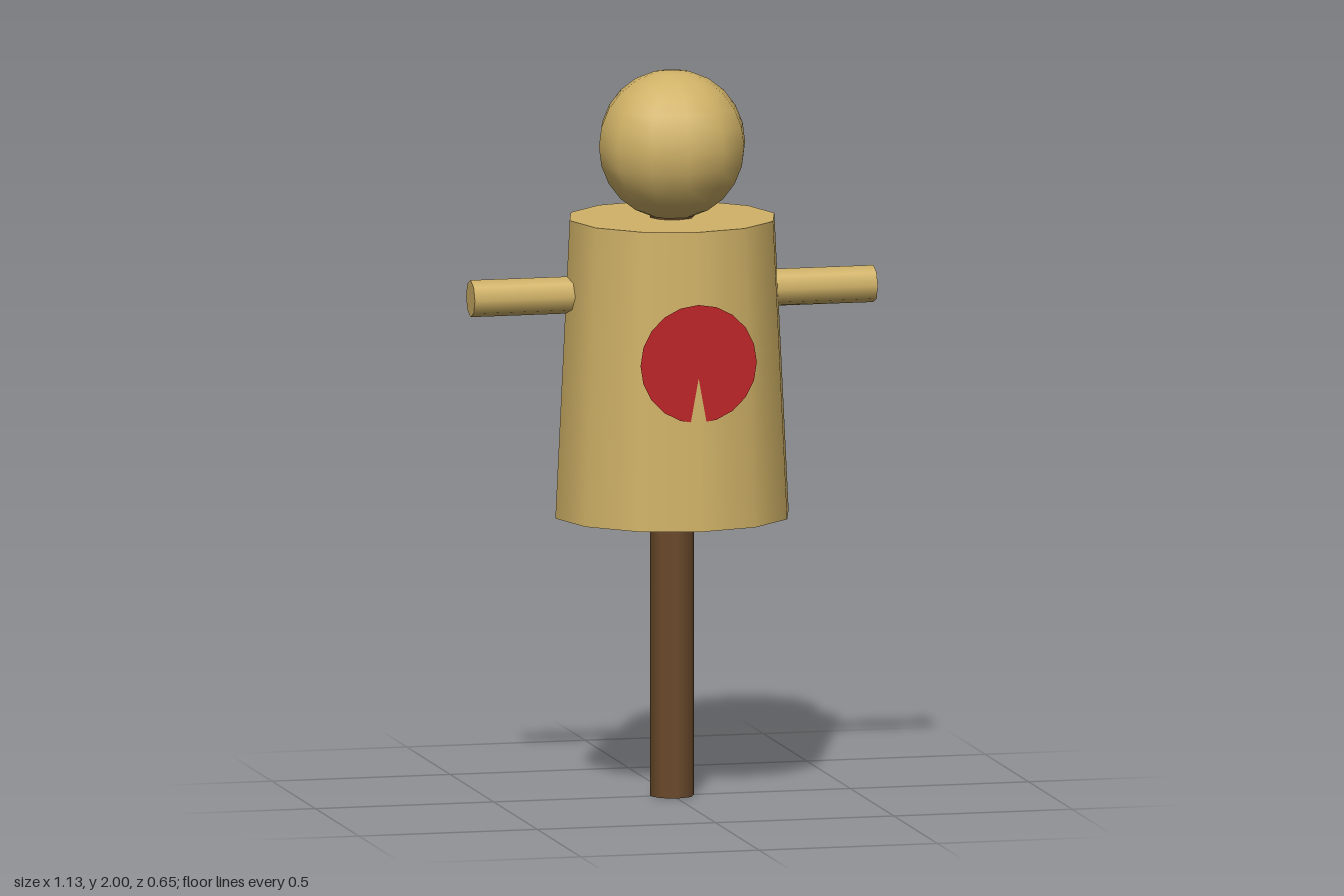
import * as THREE from 'three';

export function createModel() {
  const model = new THREE.Group();
  const material = (name, color, side = THREE.FrontSide) => {
    const m = new THREE.MeshStandardMaterial({ color, side });
    m.name = name;
    return m;
  };
  const straw = material('straw', 0xd0b267);
  const wood = material('wood', 0x6b4a2b);
  const red = material('red', 0xbe2326, THREE.DoubleSide);

  const add = (name, geometry, mat, x, y, z) => {
    const mesh = new THREE.Mesh(geometry, mat);
    mesh.name = name;
    mesh.position.set(x, y, z);
    model.add(mesh);
    return mesh;
  };

  // Pole running up through the body to the neck
  add('pole', new THREE.CylinderGeometry(0.061, 0.061, 1.62, 8), wood, 0, 0.81, 0);

  // Tapered straw body
  add('body', new THREE.CylinderGeometry(0.287, 0.327, 0.82, 12), straw, 0, 1.185, 0);

  // Crossbar forming both arms
  const arms = add('arms', new THREE.CylinderGeometry(0.051, 0.051, 1.13, 8), straw, 0, 1.39, 0);
  arms.rotation.z = Math.PI / 2;

  // Head
  add('head', new THREE.SphereGeometry(0.205, 12, 12), straw, 0, 1.795, 0);

  // Flat target disc, its lower edge split by the body's front ridge
  add('target', new THREE.CircleGeometry(0.163, 20), red, 0, 1.235, 0.3065);

  return model;
}
